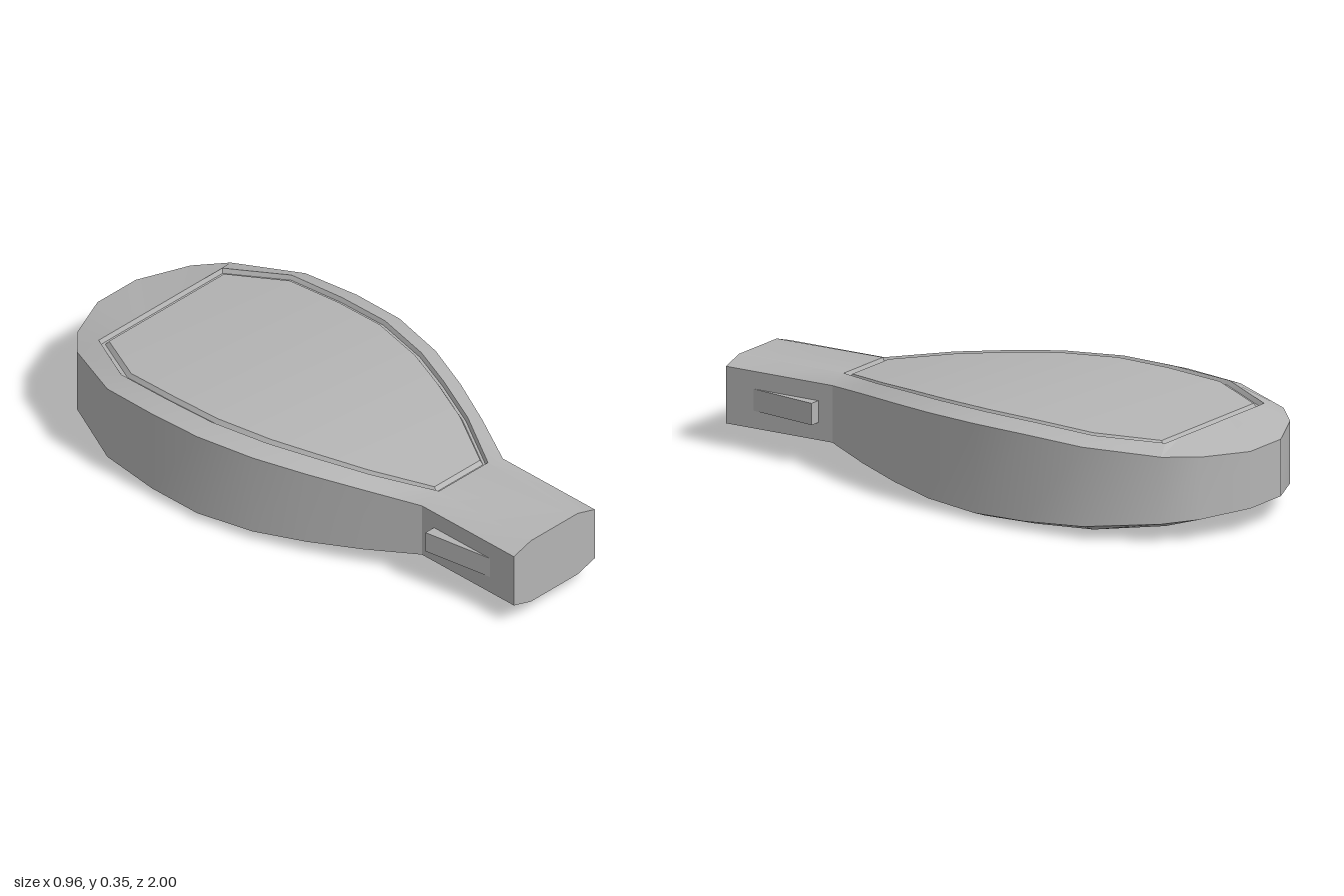
import * as THREE from 'three';
import { toCreasedNormals } from 'three/addons/utils/BufferGeometryUtils.js';

const MID = 0.178; // height of the horizontal mirror plane

// Stations from front to back: side z, side half width, side half height,
// then z, half width and half height of the inner edge of the bevel.
const STATIONS = [
  [1.0, 0.19, 0.097, 1.0, 0.11, 0.121],
  [0.58, 0.19, 0.097, 0.585, 0.115, 0.121],
  [0.4, 0.28, 0.118, 0.38, 0.23, 0.146],
  [0.22, 0.362, 0.134, 0.2, 0.305, 0.162],
  [0.04, 0.43, 0.146, 0.04, 0.363, 0.172],
  [-0.17, 0.475, 0.152, -0.17, 0.407, 0.177],
  [-0.37, 0.48, 0.148, -0.37, 0.41, 0.172],
  [-0.59, 0.465, 0.135, -0.59, 0.4, 0.16],
  [-0.83, 0.36, 0.114, -0.8, 0.29, 0.141],
  [-0.92, 0.265, 0.106, -0.8, 0.2, 0.141],
  [-1.0, 0.09, 0.097, -0.8, 0.09, 0.141],
];
const NECK = 1, PANEL_END = 8;

// Collects quads and turns them into a softly creased geometry
function builder() {
  const pos = [];
  const tri = (a, b, c) => {
    const area = b.clone().sub(a).cross(c.clone().sub(a)).length();
    if (area > 1e-7) for (const p of [a, b, c]) pos.push(p.x, p.y, p.z);
  };
  return {
    tri,
    quad(a, b, c, d) { tri(a, b, c); tri(a, c, d); },
    build() {
      const g = new THREE.BufferGeometry();
      g.setAttribute('position', new THREE.Float32BufferAttribute(pos, 3));
      return toCreasedNormals(g, 0.42);
    },
  };
}

const V = (x, y, z) => new THREE.Vector3(x, y, z);

// Eight-cornered cross-section, anticlockwise seen from the front
function section([zs, w, h, zt, t, k]) {
  return [
    V(w, MID - h, zs), V(w, MID + h, zs), V(t, MID + k, zt), V(-t, MID + k, zt),
    V(-w, MID + h, zs), V(-w, MID - h, zs), V(-t, MID - k, zt), V(t, MID - k, zt),
  ];
}

function bodyGeometry() {
  const b = builder();
  const rings = STATIONS.map(section);
  for (let i = 0; i < rings.length - 1; i++) {
    for (let k = 0; k < 8; k++) {
      if (k === 2 && i >= NECK) continue; // left open for the panel
      const n = (k + 1) % 8, p = rings[i], q = rings[i + 1];
      b.quad(p[k], q[k], q[n], p[n]);
    }
  }
  // Flat front end
  const f = rings[0];
  for (let k = 1; k < 7; k++) b.tri(f[0], f[k], f[k + 1]);
  // Back wall with its upper and lower slopes
  const e = rings[rings.length - 1];
  b.quad(e[0], e[5], e[4], e[1]);
  b.quad(e[1], e[4], e[3], e[2]);
  b.quad(e[7], e[6], e[5], e[0]);
  return b.build();
}

// Panel outline drawn in by a distance and sunk by a depth
function outline(inset, depth) {
  const right = STATIONS.slice(NECK, PANEL_END + 1).map(([, , , z, t, k]) =>
    V(t * (1 - inset / 0.41), MID + k - depth, (z + 0.11) * (1 - inset / 0.69) - 0.11));
  const left = right.map((p) => V(-p.x, p.y, p.z)).reverse();
  return [...right, ...left];
}

function grooveGeometry() {
  const b = builder();
  const loops = [outline(0, 0), outline(0.007, 0.015), outline(0.018, 0.015), outline(0.028, 0)];
  for (let l = 0; l < 3; l++) {
    const A = loops[l], B = loops[l + 1];
    A.forEach((_, j) => {
      const n = (j + 1) % A.length;
      b.quad(A[j], A[n], B[n], B[j]);
    });
  }
  return b.build();
}

function panelGeometry() {
  const b = builder();
  const L = outline(0.028, 0), last = L.length - 1;
  for (let i = 0; i < L.length / 2 - 1; i++) b.quad(L[i], L[i + 1], L[last - i - 1], L[last - i]);
  return b.build();
}

// Wedge-shaped catch, thickest toward the back
function catchGeometry(side) {
  const s = new THREE.Shape();
  s.moveTo(side * 0.18, -0.635);
  s.lineTo(side * 0.23, -0.635);
  s.lineTo(side * 0.19, -0.89);
  s.lineTo(side * 0.18, -0.89);
  const g = new THREE.ExtrudeGeometry(s, { depth: 0.074, bevelEnabled: false });
  g.rotateX(-Math.PI / 2);
  g.translate(0, 0.141, 0);
  return g;
}

export function createModel() {
  const group = new THREE.Group();
  group.name = 'paddleCase';
  const grey = new THREE.MeshStandardMaterial({ color: 0xb4b4b4 });
  grey.name = 'grey';
  const add = (name, geometry) => {
    const mesh = new THREE.Mesh(geometry, grey);
    mesh.name = name;
    group.add(mesh);
  };
  add('body', bodyGeometry());
  add('panelGroove', grooveGeometry());
  add('topPanel', panelGeometry());
  add('leftCatch', catchGeometry(1));
  add('rightCatch', catchGeometry(-1));
  return group;
}
